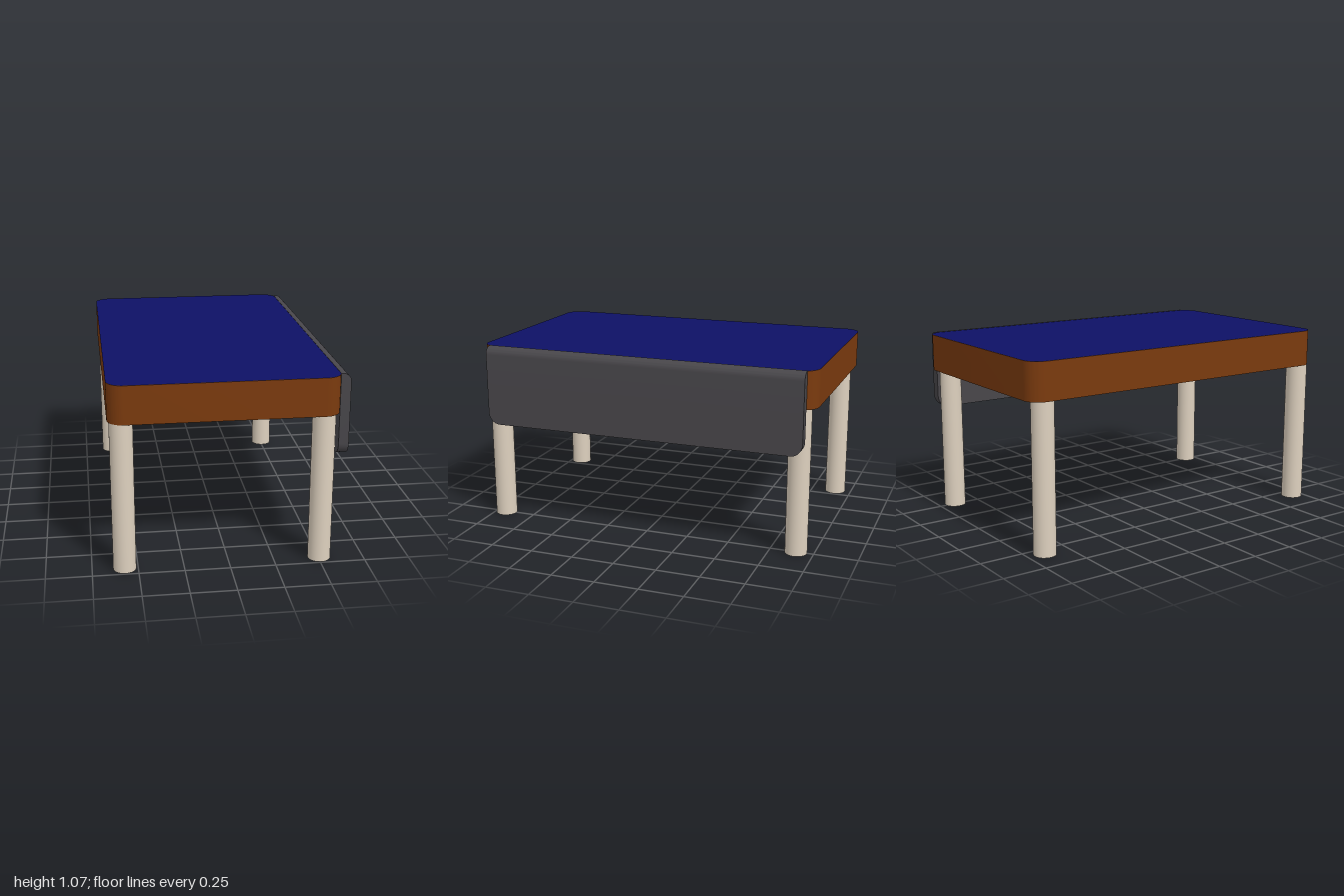
import * as THREE from 'three';
import { toCreasedNormals } from 'three/addons/utils/BufferGeometryUtils.js';

const material = (color) => new THREE.MeshStandardMaterial({ color });

function addMesh(group, name, geometry, mat) {
  const mesh = new THREE.Mesh(geometry, mat);
  mesh.name = name;
  group.add(mesh);
  return mesh;
}

function roundedRect(w, h, r) {
  const x = w / 2, y = h / 2;
  const s = new THREE.Shape();
  s.moveTo(-x + r, -y);
  s.lineTo(x - r, -y);
  s.absarc(x - r, -y + r, r, -Math.PI / 2, 0);
  s.lineTo(x, y - r);
  s.absarc(x - r, y - r, r, 0, Math.PI / 2);
  s.lineTo(-x + r, y);
  s.absarc(-x + r, y - r, r, Math.PI / 2, Math.PI);
  s.lineTo(-x, -y + r);
  s.absarc(-x + r, -y + r, r, Math.PI, Math.PI * 1.5);
  return s;
}

// Hanging flap: rounded upper outer edge, and lower corners rounded along its length
function flapGeometry() {
  const x0 = 0.587, x1 = 0.643, y0 = 0.603, y1 = 1.065, z0 = -0.948, z1 = 0.94;
  const edge = 0.045, corner = 0.07, n = 8, steps = 2 * n + 1;
  const profile = new THREE.Shape();
  profile.moveTo(x0, y0);
  profile.lineTo(x1, y0);
  profile.lineTo(x1, y1 - edge);
  profile.absarc(x1 - edge, y1 - edge, edge, 0, Math.PI / 2);
  profile.lineTo(x0, y1);
  profile.closePath();
  const geo = new THREE.ExtrudeGeometry(profile, { depth: steps, steps, bevelEnabled: false, curveSegments: 10 });
  // Each extrusion step becomes a station on one of the two corner arcs
  const p = geo.attributes.position;
  for (let i = 0; i < p.count; i++) {
    const k = Math.round(p.getZ(i));
    const t = (Math.min(k, steps - k) / n) * Math.PI / 2;
    const inset = corner * (1 - Math.cos(t));
    p.setZ(i, k <= n ? z0 + inset : z1 - inset);
    if (p.getY(i) < y0 + 0.001) p.setY(i, y0 + corner * (1 - Math.sin(t)));
  }
  return toCreasedNormals(geo, 0.6);
}

export function createModel() {
  const table = new THREE.Group();
  table.name = 'table';
  const wood = material(0x7a3a0e);
  const blue = material(0x0d1166);
  const legPaint = material(0xddd0be);
  const darkGrey = material(0x48464a);

  // Thick rounded top, with a coloured sheet covering its upper face
  const outline = roundedRect(1.235, 2, 0.09);
  const bottom = 0.85, height = 0.212, centreX = -0.0275;
  const body = new THREE.ExtrudeGeometry(outline, { depth: height, bevelEnabled: false, curveSegments: 12 });
  body.rotateX(-Math.PI / 2).translate(centreX, bottom, 0);
  addMesh(table, 'tabletopBody', toCreasedNormals(body, 0.6), wood);

  const sheet = new THREE.ShapeGeometry(outline, 12);
  sheet.rotateX(-Math.PI / 2).translate(centreX, bottom + height + 0.001, 0);
  addMesh(table, 'tabletopSurface', sheet, blue);

  // Four round legs
  for (const [side, x] of [['Right', -0.573], ['Left', 0.505]]) {
    for (const [end, z] of [['front', 0.93], ['back', -0.9]]) {
      const leg = addMesh(table, `${end}${side}Leg`, new THREE.CylinderGeometry(0.063, 0.063, bottom, 32), legPaint);
      leg.position.set(x, bottom / 2, z);
    }
  }

  addMesh(table, 'sideFlap', flapGeometry(), darkGrey);
  return table;
}
